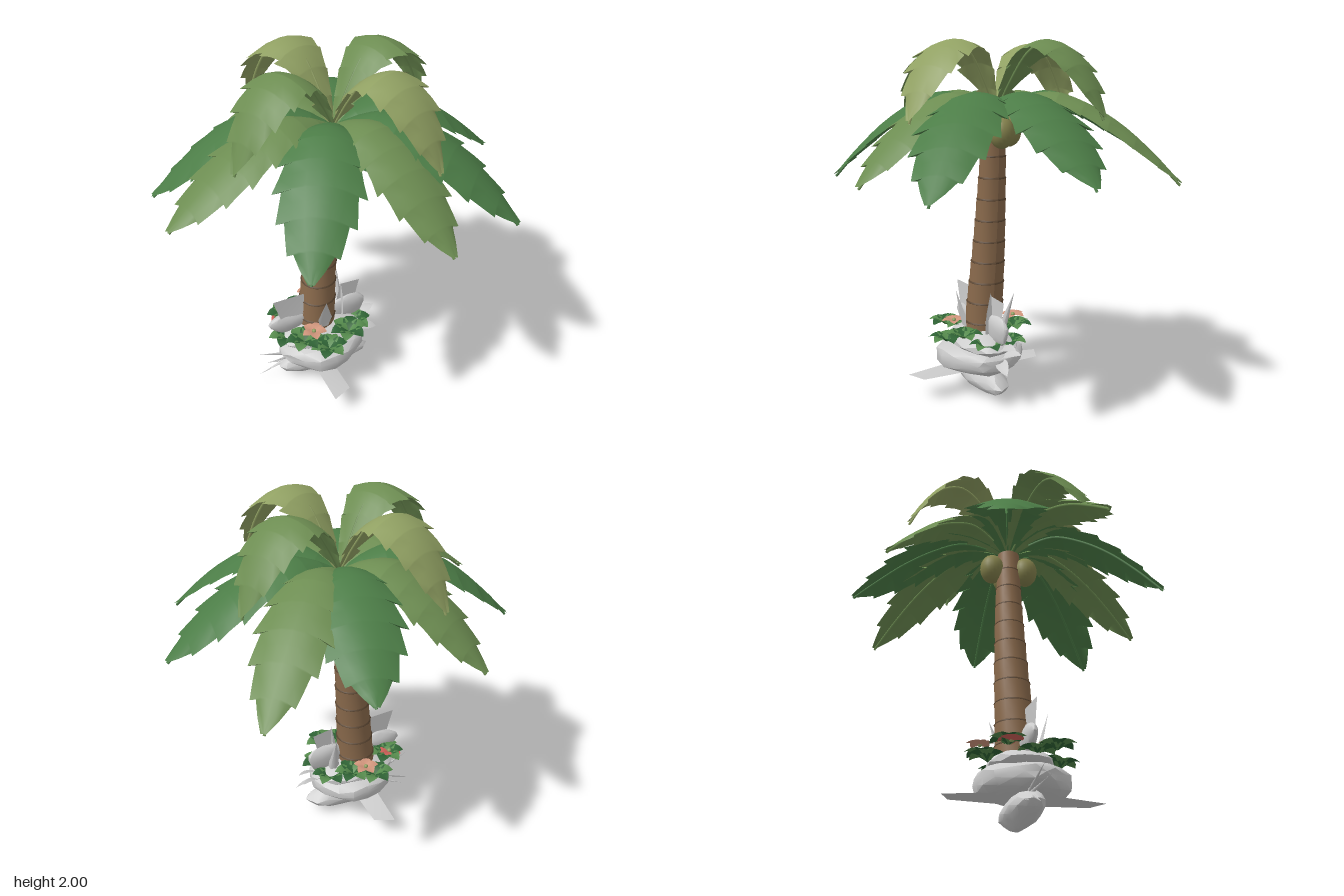
import * as THREE from 'three';
import { toCreasedNormals } from 'three/addons/utils/BufferGeometryUtils.js';

const V = (x, y, z) => new THREE.Vector3(x, y, z);
const mat = color => new THREE.MeshStandardMaterial({ color, side: THREE.DoubleSide });
const DARK = mat(0x4c7d47), MID = mat(0x6d8d52), LIGHT = mat(0x91a163);
const BARK = mat(0x8a6a4c), RING = mat(0x5a4531), NUT = mat(0x85824d);
const STONE = mat(0xcccccc), LEAF = mat(0x2f6335), LEAF2 = mat(0x558a4c);

function add(parent, name, geometry, material, position) {
  const m = new THREE.Mesh(geometry, material);
  m.name = name;
  if (position) m.position.copy(position);
  parent.add(m);
  return m;
}

// Surface lofted through rows of points that all have the same count
function loft(rows) {
  const n = rows[0].length, index = [];
  for (let i = 0; i < rows.length - 1; i++)
    for (let j = 0; j < n - 1; j++) {
      const a = i * n + j, b = a + n;
      index.push(a, a + 1, b, b, a + 1, b + 1);
    }
  const g = new THREE.BufferGeometry().setFromPoints(rows.flat());
  g.setIndex(index);
  g.computeVertexNormals();
  return g;
}

// Frond: arched midrib, drooping sides, saw-toothed margin
const WIDTHS = [0.02, 0.085, 0.145, 0.19, 0.215, 0.215, 0.18, 0.115, 0.01];
function widthAt(t) {
  const f = Math.min(t, 0.9999) * 8, i = Math.floor(f);
  return THREE.MathUtils.lerp(WIDTHS[i], WIDTHS[i + 1], f - i);
}
function frond(name, profile, tip, widthScale, droop, material) {
  const [tx, tz, ty] = tip;
  const reach = Math.hypot(tx, tz);
  const shift = ty - profile[profile.length - 1][1];
  const curve = new THREE.CatmullRomCurve3(profile.map(([r, y]) => V(r * reach, y + shift * r ** 3, 0)));
  const rows = [], teeth = 8;
  for (let k = 0; k < teeth; k++)
    for (const [f, s] of [[0.03, 0.88], [0.5, 0.97], [0.97, 1.09]]) {
      const t = (k + f) / teeth, p = curve.getPoint(t);
      const row = [];
      for (let j = -3; j <= 3; j++) {
        const u = j / 3, edge = Math.abs(j) === 3;
        const w = widthAt(t) * widthScale * (edge ? s : 0.93);
        row.push(V(p.x + (edge ? 0.02 * (f - 0.5) : 0), p.y - droop * u * u * (w / 0.2), u * w));
      }
      rows.push(row);
    }
  rows.push(Array.from({ length: 7 }, () => curve.getPoint(1)));
  const g = new THREE.Group();
  g.name = name;
  g.rotation.y = -Math.atan2(tz, tx);
  add(g, 'blade', loft(rows), material);
  add(g, 'midrib', new THREE.TubeGeometry(curve, 32, 0.007, 5), material, V(-0.004, -0.014, 0));
  return g;
}

// Dented boulder with soft facets
function boulder(parent, name, c, half, seed) {
  const g = new THREE.IcosahedronGeometry(1, 2);
  const p = g.attributes.position, v = V(0, 0, 0);
  for (let i = 0; i < p.count; i++) {
    v.fromBufferAttribute(p, i);
    const k = 1 + 0.07 * Math.sin(4 * v.x + seed) * Math.cos(5 * v.z + seed) + 0.05 * Math.sin(5 * v.y + 2 * seed);
    p.setXYZ(i, v.x * half[0] * k, v.y * half[1] * k, v.z * half[2] * k);
  }
  add(parent, name, toCreasedNormals(g, 0.6), STONE, V(...c));
}

// Thin pointed leaf along +x
function leafGeometry(length, width, lift) {
  const rows = [];
  for (let i = 0; i <= 6; i++) {
    const t = i / 6, w = width * Math.pow(Math.sin(Math.PI * Math.min(t * 0.94 + 0.06, 1)), 0.8);
    const y = lift * Math.sin(t * 2.4);
    rows.push([V(t * length, y + w * 0.25, -w), V(t * length, y, 0), V(t * length, y + w * 0.25, w)]);
  }
  return loft(rows);
}

// Ring of leaves or petals around a point
function rosette(parent, name, c, count, geometry, materials, turn) {
  const g = new THREE.Group();
  g.name = name;
  g.position.set(...c);
  for (let i = 0; i < count; i++)
    add(g, name + 'Blade', geometry, materials[i % materials.length]).rotation.y = turn + (i / count) * Math.PI * 2;
  parent.add(g);
  return g;
}

// Flat polygon panel from its corners
function panel(parent, name, corners) {
  const g = new THREE.BufferGeometry().setFromPoints(corners.map(c => V(...c)));
  const index = [];
  for (let i = 1; i < corners.length - 1; i++) index.push(0, i, i + 1);
  g.setIndex(index);
  g.computeVertexNormals();
  add(parent, name, g, STONE);
}

// Slim cone between two points
function spike(parent, name, from, to, radius) {
  const a = V(...from), b = V(...to), d = b.clone().sub(a);
  const m = add(parent, name, new THREE.ConeGeometry(radius, d.length(), 6), STONE, a.add(b).multiplyScalar(0.5));
  m.quaternion.setFromUnitVectors(V(0, 1, 0), d.normalize());
}

function buildTrunk(root) {
  const trunk = new THREE.Group();
  trunk.name = 'trunk';
  const path = new THREE.CatmullRomCurve3([V(-0.12, 0.3, 0.015), V(-0.107, 0.5, 0.012), V(-0.078, 0.85, 0), V(-0.05, 1.2, -0.005), V(-0.032, 1.4, -0.004), V(-0.015, 1.63, 0)]);
  const n = 11;
  const circle = (t, scale) => {
    const p = path.getPointAt(t), r = THREE.MathUtils.lerp(0.114, 0.062, t) * scale;
    return Array.from({ length: 19 }, (_, j) => V(p.x + r * Math.cos(j * Math.PI / 9), p.y, p.z - r * Math.sin(j * Math.PI / 9)));
  };
  for (let i = 0; i < n; i++) {
    add(trunk, 'trunkSegment', loft([circle(i / n, 0.98), circle((i + 0.5) / n, 1), circle((i + 1) / n, 1.02)]), BARK);
    // Leaf scar around each joint
    if (i) add(trunk, 'trunkRing', loft([circle(i / n - 0.005, 1.01), circle(i / n - 0.002, 1.05), circle(i / n + 0.004, 0.97)]), RING);
  }
  root.add(trunk);
}

function buildCrown(root) {
  const lower = [[0, 1.63], [0.16, 1.71], [0.32, 1.74], [0.5, 1.685], [0.68, 1.585], [0.85, 1.45], [1, 1.31]];
  const lowTips = [[0.94, 0, 1.33], [0.7, 0.71, 1.28], [0.24, 0.865, 1.31], [-0.43, 0.77, 1.29], [-0.94, 0.26, 1.385],
    [-0.92, -0.24, 1.29], [-0.43, -0.74, 1.3], [0.25, -0.87, 1.385], [0.71, -0.7, 1.28]];
  lowTips.forEach((tip, i) => {
    const dark = i === 0 || i % 2 === 1;
    root.add(frond('lowerFrond', lower, tip, dark ? 0.95 : 0.86, 0.06, dark ? DARK : MID));
  });
  const upper = [[0, 1.62], [0.15, 1.8], [0.33, 1.955], [0.5, 2.0], [0.7, 1.935], [0.87, 1.79], [1, 1.61]];
  [[0.28, 0.62, 1.61], [0.63, -0.26, 1.62], [-0.25, -0.62, 1.61], [-0.61, 0.27, 1.62]]
    .forEach((tip, i) => root.add(frond('upperFrond', upper, tip, 0.78, 0.055, i % 2 ? MID : LIGHT)));
  // Coconuts hanging under the crown
  for (const [x, y, z] of [[-0.035, 1.52, 0.095], [0.075, 1.52, 0], [-0.025, 1.52, -0.1]])
    add(root, 'coconut', new THREE.SphereGeometry(0.07, 20, 14), NUT, V(x, y, z)).scale.y = 1.25;
}

function buildBase(root) {
  const base = new THREE.Group();
  base.name = 'rockBase';
  boulder(base, 'lowerRock', [-0.09, 0.1, 0.045], [0.275, 0.095, 0.09], 1);
  boulder(base, 'middleRock', [-0.1, 0.23, 0.045], [0.27, 0.09, 0.255], 2.4);
  boulder(base, 'topRock', [-0.1, 0.31, 0.03], [0.25, 0.085, 0.17], 4);
  boulder(base, 'leftSlab', [-0.29, 0.415, 0.03], [0.125, 0.075, 0.032], 0.5);
  boulder(base, 'rightSlab', [0.07, 0.42, 0.03], [0.125, 0.085, 0.032], 3);

  // Upright panels beside the trunk and the pointed one before it
  panel(base, 'leftPanel', [[-0.35, 0.46, 0.05], [-0.2, 0.46, 0.05], [-0.2, 0.6, 0.04], [-0.39, 0.6, 0.05]]);
  panel(base, 'rightPanel', [[0.0, 0.46, 0.04], [0.12, 0.44, 0.03], [0.155, 0.59, 0.03], [0.03, 0.6, 0.04]]);
  panel(base, 'frontBlade', [[-0.14, 0.4, 0.14], [-0.09, 0.4, 0.14], [-0.07, 0.47, 0.15], [-0.12, 0.62, 0.19], [-0.155, 0.47, 0.15]]);
  panel(base, 'sideBlade', [[0.03, 0.38, 0.08], [0.03, 0.38, 0.02], [0.035, 0.5, 0.015], [0.03, 0.62, 0.045], [0.035, 0.5, 0.075]]);
  spike(base, 'sideShard', [0.04, 0.35, 0], [0.06, 0.61, -0.09], 0.035);

  // Flat slivers reaching forward and backward
  for (const s of [1, -1])
    panel(base, 'flatSliver', [[-0.2, 0.16, 0.045 + s * 0.1], [-0.08, 0.13, 0.045 + s * 0.1], [-0.07, 0.14, 0.045 + s * 0.37], [-0.18, 0.14, 0.045 + s * 0.42]]);

  // Thin spikes on one side, small pale leaves on the other
  for (const [y0, y1, x1, z] of [[0.16, 0.235, -0.5, 0.05], [0.14, 0.2, -0.45, 0.1], [0.14, 0.05, -0.5, 0.03], [0.11, 0.07, -0.43, -0.03]])
    spike(base, 'thinSpike', [-0.28, y0, 0.04], [x1, y1, z], 0.012);
  for (const [y, tilt, turn] of [[0.3, 0.15, 0.2], [0.25, -0.2, -0.3], [0.25, 0.1, 0.5]]) {
    const leaf = add(base, 'paleLeaf', leafGeometry(0.17, 0.035, 0.02), STONE, V(0.1, y, 0.03));
    leaf.rotation.set(0.4, turn, tilt);
  }

  // Leafy ground cover in two alternating heights
  const leaf = leafGeometry(0.11, 0.042, 0.032);
  for (let i = 0; i < 9; i++) {
    const a = (i / 9) * Math.PI * 2 + 0.25, high = i % 2;
    rosette(base, 'groundLeaves', [-0.11 + 0.21 * Math.cos(a), high ? 0.375 : 0.32, 0.045 + 0.2 * Math.sin(a)], 6, leaf, [LEAF, LEAF2], i);
  }
  // Flowers
  const petal = leafGeometry(0.075, 0.03, 0.012);
  const salmon = mat(0xd0957c), red = mat(0xcf6058);
  for (const [x, y, z, m] of [[-0.19, 0.41, 0.17, salmon], [-0.09, 0.42, -0.17, salmon], [-0.31, 0.385, -0.06, red]]) {
    const f = rosette(base, 'flower', [x, y, z], 5, petal, [m], x * 9);
    add(f, 'flowerCentre', new THREE.SphereGeometry(0.013, 8, 6), LIGHT, V(0, 0.008, 0));
  }
  root.add(base);
}

export function createModel() {
  const root = new THREE.Group();
  root.name = 'palmTree';
  buildTrunk(root);
  buildCrown(root);
  buildBase(root);
  return root;
}
